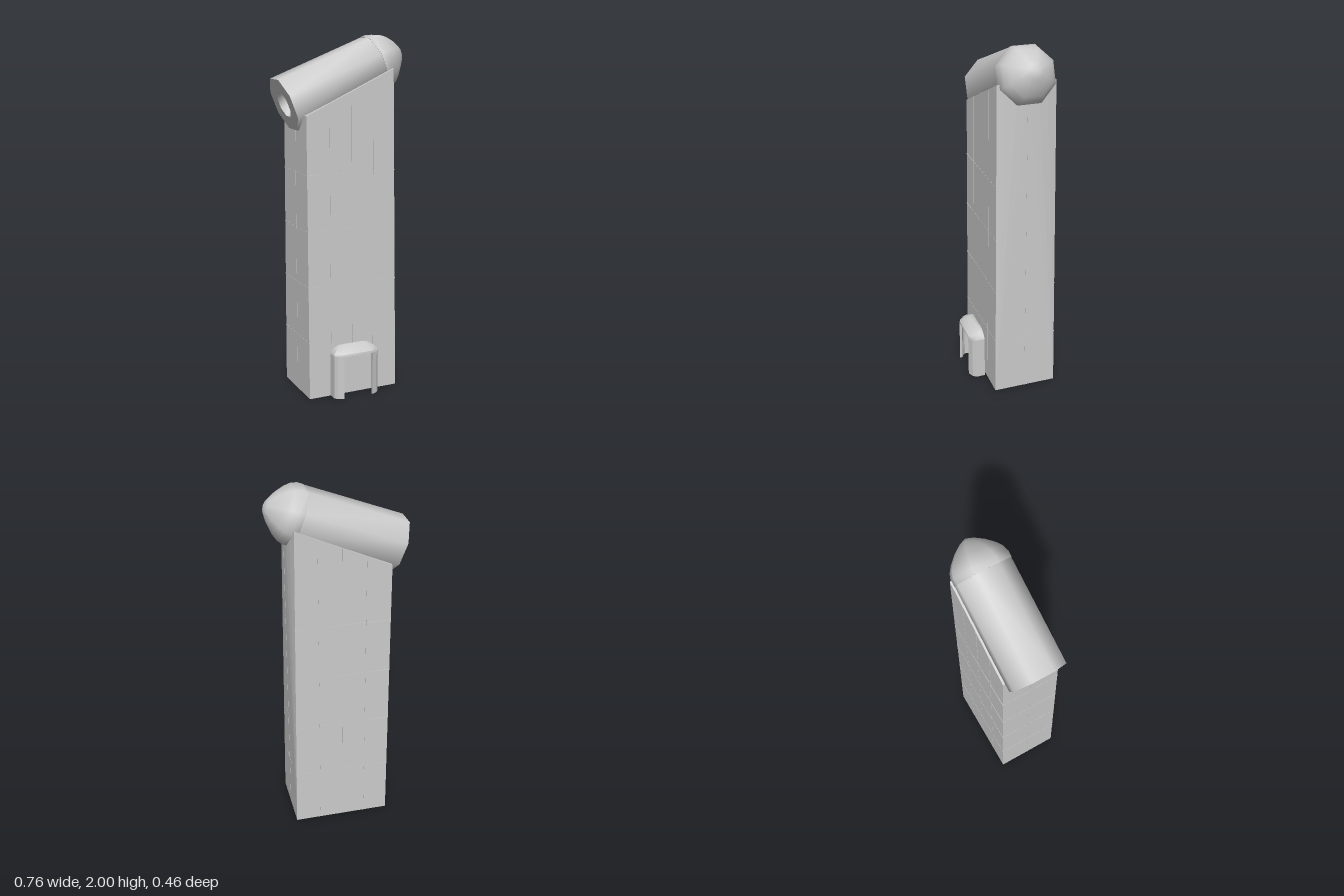
import * as THREE from 'three';
import { ConvexGeometry } from 'three/addons/geometries/ConvexGeometry.js';
import { toCreasedNormals } from 'three/addons/utils/BufferGeometryUtils.js';

const material = new THREE.MeshStandardMaterial({ color: 0xcccccc });
const H = 1.83, MID_Z = -0.05;
const halfDepth = (y) => 0.18 - 0.019 * y / H;
const roofY = (x) => 1.59 + (x + 0.265) * 0.458;

// Horizontal outline of the tower at height y, with a gently bowed +x wall
function section(y, grow = 0) {
  const d = halfDepth(y) + grow, points = [];
  for (const s of [-1, 1]) points.push(new THREE.Vector3(-0.265 - grow, y, MID_Z + s * d));
  for (let i = 0; i <= 6; i++) {
    const t = i / 3 - 1;
    points.push(new THREE.Vector3(0.275 + grow - 0.024 * (y / H) * t * t, y, MID_Z + t * d));
  }
  return points;
}

export function createModel() {
  const group = new THREE.Group();
  const add = (name, geometry, parent = group) => {
    const mesh = new THREE.Mesh(geometry, material);
    mesh.name = name;
    parent.add(mesh);
    return mesh;
  };

  // Tapering tower with a sloping roof
  const top = section(H).map((p) => p.setY(roofY(p.x)));
  add('tower', new ConvexGeometry([...section(0), ...top]));

  // Fine floor bands and facade ribs
  for (const y of [0.33, 0.645, 0.96, 1.27]) {
    add('floorBand', new ConvexGeometry([...section(y - 0.002, 0.001), ...section(y + 0.002, 0.001)]));
  }
  const tilt = Math.atan(0.019 / H);
  for (const x of [-0.13, 0, 0.13]) {
    for (const side of [-1, 1]) {
      const h = roofY(x);
      const rib = add('facadeRib', new THREE.BoxGeometry(0.004, h, 0.002));
      rib.position.set(x, h / 2, MID_Z + side * halfDepth(h / 2));
      rib.rotation.x = -side * tilt;
    }
  }
  for (const [x, h] of [[-0.265, 1.58], [0.275, 1.8]]) {
    add('sideRib', new THREE.BoxGeometry(0.002, h, 0.004)).position.set(x, h / 2, MID_Z);
  }

  // Octagonal barrel lying along the roof, local y is its axis
  const barrel = new THREE.Group();
  barrel.name = 'roofBarrel';
  barrel.position.set(-0.328, 1.64, MID_Z - 0.003);
  barrel.rotation.z = Math.atan2(0.225, 0.575) - Math.PI / 2;
  group.add(barrel);
  const lathe = (pairs) => {
    const g = new THREE.LatheGeometry(pairs.map(([r, y]) => new THREE.Vector2(r, y)), 8);
    g.rotateY(Math.PI / 8);
    return toCreasedNormals(g, 0.9);
  };
  // Closed body with a recessed opening in its low end
  add('barrelBody', lathe([[0, 0.06], [0.075, 0.06], [0.075, 0], [0.159, 0], [0.159, 0.6], [0, 0.6]]), barrel);
  // Domed nose at the high end
  add('barrelNose', lathe([
    [0, 0.575], [0.161, 0.575], [0.161, 0.61], [0.148, 0.645], [0.125, 0.675],
    [0.085, 0.712], [0.04, 0.742], [0, 0.757],
  ]), barrel);

  // Entrance porch: two angled posts under a rounded hood
  const porch = new THREE.Group();
  porch.name = 'porch';
  porch.position.x = -0.01;
  group.add(porch);
  for (const s of [-1, 1]) {
    const outline = [
      [0.135, 0.145], [0.135, 0.197], [0.12, 0.215], [0.0875, 0.23],
      [0.0875, 0.215], [0.11, 0.203], [0.12, 0.19], [0.12, 0.145],
    ].map(([x, z]) => new THREE.Vector2(s * x, -z));
    const post = new THREE.ExtrudeGeometry(new THREE.Shape(outline), { depth: 0.25, bevelEnabled: false });
    post.rotateX(-Math.PI / 2);
    add('porchPost', post, porch).position.y = 0.01;
  }
  // Hood layers: height, half width, front half width, front z, corner z
  const hood = [];
  for (const [y, w, f, front, corner] of [
    [0.258, 0.135, 0.0875, 0.23, 0.197], [0.27, 0.132, 0.087, 0.228, 0.195],
    [0.29, 0.112, 0.075, 0.207, 0.182], [0.303, 0.085, 0.06, 0.182, 0.168],
  ]) {
    for (const s of [-1, 1]) {
      hood.push(new THREE.Vector3(s * w, y, 0.145), new THREE.Vector3(s * w, y, corner),
        new THREE.Vector3(s * f, y, front));
    }
  }
  for (const s of [-1, 1]) hood.push(new THREE.Vector3(s * 0.05, 0.311, 0.163));
  add('porchHood', toCreasedNormals(new ConvexGeometry(hood), 0.6), porch);

  return group;
}
